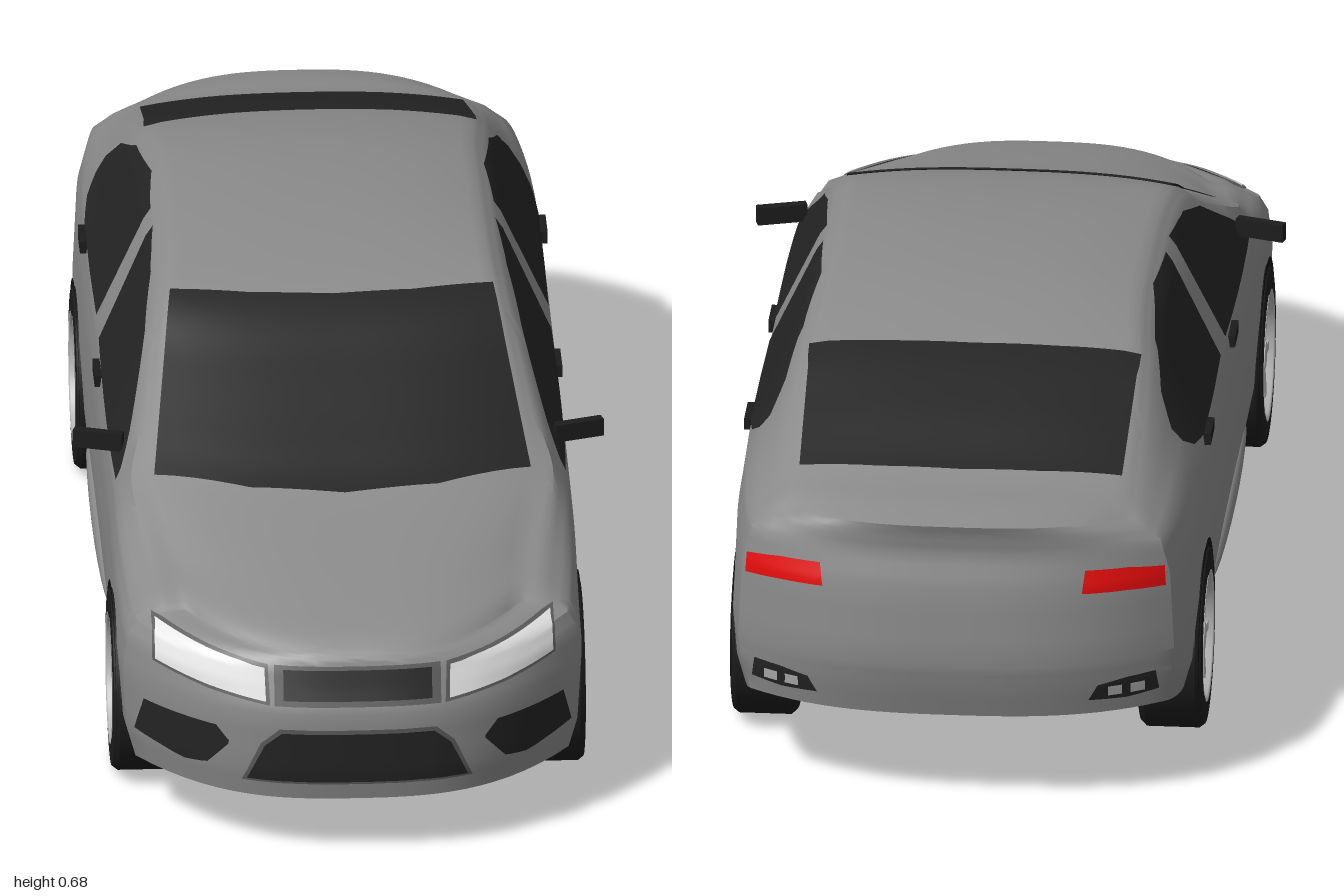
import * as THREE from 'three';
import { mergeGeometries, toCreasedNormals } from 'three/addons/utils/BufferGeometryUtils.js';

const paint = (name, color) => new THREE.MeshStandardMaterial({ name, color, side: THREE.DoubleSide });
const M = {
  body: paint('bodyGrey', 0x8a8a8a),
  glass: paint('darkGlass', 0x242424),
  rubber: paint('rubberBlack', 0x1c1c1c),
  under: paint('underbodyBlack', 0x121212),
  lamp: paint('headlampWhite', 0xe4e4e4),
  red: paint('tailRed', 0xe80c0c),
  rim: paint('rimSilver', 0xb4b4b4),
  trim: paint('trimGrey', 0x5c5c5c),
};
const WHEELS = [0.595, -0.575], WHEEL_Y = 0.15;
const { lerp, smoothstep } = THREE.MathUtils;

// Body stations, front to back: side z, centre z, centre y, roof edge x and y, shoulder y
const STATIONS = [
  [0.80, 0.965, 0.352, 0.270, 0.362, 0.345],
  [0.76, 0.920, 0.375, 0.275, 0.380, 0.352],
  [0.66, 0.800, 0.408, 0.285, 0.405, 0.370],
  [0.50, 0.590, 0.460, 0.310, 0.460, 0.410],
  [0.40, 0.470, 0.508, 0.297, 0.507, 0.425],
  [0.27, 0.320, 0.574, 0.282, 0.570, 0.435],
  [0.15, 0.175, 0.635, 0.265, 0.630, 0.440],
  [0.00, 0.000, 0.667, 0.257, 0.652, 0.445],
  [-0.18, -0.18, 0.677, 0.255, 0.657, 0.450],
  [-0.36, -0.36, 0.667, 0.255, 0.648, 0.455],
  [-0.52, -0.535, 0.632, 0.265, 0.618, 0.460],
  [-0.66, -0.68, 0.585, 0.270, 0.570, 0.465],
  [-0.80, -0.825, 0.530, 0.268, 0.520, 0.460],
  [-0.86, -0.92, 0.515, 0.270, 0.500, 0.455],
  [-0.89, -0.985, 0.500, 0.270, 0.485, 0.450],
];
// Centre line of the nose and tail, bottom to top: y, z
const NOSE = [[0.105, 0.985], [0.155, 0.995], [0.26, 1], [0.30, 0.985], [0.33, 0.975], [0.345, 0.97], [0.352, 0.965]];
const TAIL = [[0.165, -0.975], [0.215, -0.99], [0.26, -1], [0.393, -0.99], [0.45, -0.975], [0.485, -0.98], [0.50, -0.985]];

// Adds n - 1 points between neighbours of a list of points
function refine(list, n) {
  const out = [];
  for (let i = 0; i < list.length - 1; i++)
    for (let k = 0; k < n; k++) out.push(list[i].map((v, c) => lerp(v, list[i + 1][c], k / n)));
  out.push(list[list.length - 1]);
  return out;
}

// Smooth curve through four values
function spline(a, b, c, d, t) {
  const m0 = (c - a) / 2, m1 = (d - b) / 2;
  return b + m0 * t + (3 * (c - b) - 2 * m0 - m1) * t * t + (2 * (b - c) + m0 + m1) * t * t * t;
}

// Half section from floor to roof edge; width, floor and cant rail follow from z and height
function makeSection([z, zc, yc, ex, ey, sy]) {
  const w = 0.378 - 0.006 * Math.max(0, (z - 0.6) / 0.2) ** 3 - 0.023 * Math.max(0, (-z - 0.6) / 0.29) ** 3;
  const yb = 0.105 + 0.06 * Math.max(0, (-z - 0.55) / 0.34) ** 2;
  const sx = w - lerp(0.01, 0.022, smoothstep(Math.abs(z), 0.5, 0.8));
  const cabin = smoothstep(ey, 0.36, 0.62);
  const side = [[w - 0.02, yb], [w - 0.006, yb + 0.05], [w, 0.26],
    [sx * 0.4 + w * 0.6 + 0.002, 0.26 + 0.7 * (sy - 0.26)], [sx, sy],
    [ex + lerp(0.036, 0.026, cabin), ey - lerp(0.004, 0.021, cabin)], [ex, ey]];
  return { z, zc, yc, side: refine(side, 3).map(([x, y]) => new THREE.Vector3(x, y, z)) };
}

function makeSections(n = 6) {
  const S = STATIONS, last = S.length - 1, out = [];
  for (let i = 0; i < last; i++)
    for (let k = 0; k < n; k++)
      out.push(makeSection(S[i].map((v, c) =>
        spline(S[Math.max(i - 1, 0)][c], v, S[i + 1][c], S[Math.min(i + 2, last)][c], k / n))));
  out.push(makeSection(S[last]));
  return out;
}

// Bowed line across the car from one edge point to its mirror image
function across(edge, cy, cz, n = 28) {
  return Array.from({ length: n + 1 }, (_, i) => {
    const s = (2 * i) / n - 1, a = Math.abs(s);
    return new THREE.Vector3(edge.x * s, lerp(cy, edge.y, a ** 2.5), lerp(cz, edge.z, a ** 2.8));
  });
}

// Surface over rows of points, leaving out cells rejected by skip
function grid(rows, skip = () => false) {
  const cols = rows[0].length, index = [];
  for (let i = 0; i < rows.length - 1; i++)
    for (let j = 0; j < cols - 1; j++) {
      if (skip(rows[i][j].clone().add(rows[i + 1][j + 1]).multiplyScalar(0.5))) continue;
      const a = i * cols + j, b = a + cols;
      index.push(a, a + 1, b, a + 1, b + 1, b);
    }
  const g = new THREE.BufferGeometry().setFromPoints(rows.flat());
  g.setIndex(index);
  return g;
}

export function createModel() {
  const car = new THREE.Group();
  car.name = 'car';
  const add = (name, geo, mat, parent = car) => {
    const m = new THREE.Mesh(geo, mat);
    m.name = name;
    parent.add(m);
    return m;
  };

  // Body shell
  const secs = makeSections(), first = secs[0], end = secs[secs.length - 1];
  const inWheel = p => WHEELS.some(z => Math.hypot(p.z - z, p.y - WHEEL_Y) < 0.125);
  const top = secs.map(s => across(s.side[s.side.length - 1], s.yc, s.zc));
  const right = secs.map(s => s.side.map(p => new THREE.Vector3(-p.x, p.y, p.z)));
  const left = secs.map(s => s.side).reverse();
  const face = (sec, line) => refine(line, 3).map(([y, z], j) => across(sec.side[j], y, z));
  const nose = face(first, NOSE), tail = face(end, TAIL);
  const shell = mergeGeometries([grid(top), grid(right, inWheel), grid(left, inWheel),
    grid(nose), grid([...tail].reverse())]);
  const body = add('body', toCreasedNormals(shell, 0.65), M.body);

  // Flat floor
  const floor = [nose[0], ...secs.map(s => across(s.side[0], s.side[0].y, s.z)), tail[0]];
  const floorGeo = grid(floor.reverse());
  floorGeo.computeVertexNormals();
  add('underbody', floorGeo, M.under);

  // Thin plate laid on the body between a lower and an upper line, seen along an axis
  const ray = new THREE.Raycaster();
  function plate(name, mat, axis, sign, lower, upper, lift = 0.004, rowsN = 8) {
    const lo = refine(lower, 5), up = refine(upper, 5);
    const dir = new THREE.Vector3();
    dir[axis] = -sign;
    let prev = new THREE.Vector3();
    const rows = Array.from({ length: rowsN + 1 }, (_, r) => lo.map((p, i) => {
      const h = lerp(p[0], up[i][0], r / rowsN), v = lerp(p[1], up[i][1], r / rowsN);
      const from = axis === 'x' ? new THREE.Vector3(2 * sign, v, h)
        : axis === 'y' ? new THREE.Vector3(h, 2, v) : new THREE.Vector3(h, v, 2 * sign);
      ray.set(from, dir);
      const hit = ray.intersectObject(body)[0];
      if (hit) prev = hit.point.clone().addScaledVector(hit.face.normal, lift);
      return prev.clone();
    }));
    const g = grid(rows);
    g.computeVertexNormals();
    return add(name, g, mat);
  }
  const flip = (pts, s) => pts.map(([h, v]) => [h * s, v]);
  const arc = (w, z, bow) => [-1, -0.5, 0, 0.5, 1].map(s => [w * s, z - bow * s * s]);

  // Windscreen and rear window
  plate('windscreen', M.glass, 'y', 1, arc(0.305, 0.582, 0.085), arc(0.262, 0.18, 0.035), 0.004, 20);
  plate('rearWindow', M.glass, 'y', 1, arc(0.268, -0.535, -0.015), arc(0.262, -0.822, -0.02), 0.004, 16);

  // Grilles
  const box = (x, y0, y1) => [[[-x, y0], [0, y0], [x, y0]], [[-x, y1], [0, y1], [x, y1]]];
  plate('grilleFrame', M.trim, 'z', 1, ...box(0.135, 0.272, 0.335), 0.002);
  plate('grille', M.glass, 'z', 1, ...box(0.12, 0.281, 0.329), 0.005);
  plate('lowerGrilleFrame', M.trim, 'z', 1, [[-0.187, 0.134], [-0.12, 0.134], [0.12, 0.134], [0.187, 0.134]],
    [[-0.157, 0.205], [-0.127, 0.233], [0.127, 0.233], [0.157, 0.205]], 0.002);
  plate('lowerGrille', M.glass, 'z', 1, [[-0.178, 0.14], [-0.12, 0.14], [0.12, 0.14], [0.178, 0.14]],
    [[-0.15, 0.203], [-0.123, 0.227], [0.123, 0.227], [0.15, 0.203]], 0.005);

  for (const s of [1, -1]) {
    const side = s > 0 ? 'left' : 'right';
    // Side windows
    plate(side + 'FrontWindow', M.glass, 'x', s,
      [[0.44, 0.43], [0.3, 0.437], [0.15, 0.443], [0.05, 0.448], [-0.055, 0.455]],
      [[0.43, 0.445], [0.365, 0.485], [0.19, 0.58], [0.06, 0.625], [-0.085, 0.64]], 0.004, 12);
    plate(side + 'RearWindow', M.glass, 'x', s,
      [[-0.14, 0.458], [-0.3, 0.458], [-0.48, 0.463], [-0.56, 0.478], [-0.6, 0.5]],
      [[-0.15, 0.64], [-0.29, 0.643], [-0.45, 0.615], [-0.56, 0.57], [-0.61, 0.525]], 0.004, 12);

    // Lamps and bumper vents
    plate(side + 'HeadlightFrame', M.trim, 'z', 1, flip([[0.142, 0.272], [0.24, 0.285], [0.326, 0.3]], s),
      flip([[0.145, 0.335], [0.24, 0.346], [0.326, 0.357]], s), 0.002);
    plate(side + 'Headlight', M.lamp, 'z', 1, flip([[0.148, 0.278], [0.24, 0.291], [0.32, 0.305]], s),
      flip([[0.15, 0.33], [0.24, 0.341], [0.32, 0.352]], s), 0.005);
    plate(side + 'BumperVent', M.glass, 'z', 1,
      flip([[0.207, 0.197], [0.24, 0.156], [0.275, 0.15], [0.352, 0.166]], s),
      flip([[0.207, 0.203], [0.227, 0.227], [0.275, 0.228], [0.338, 0.228]], s));
    plate(side + 'TailLight', M.red, 'z', -1, flip([[0.21, 0.383], [0.28, 0.38], [0.34, 0.375]], s),
      flip([[0.215, 0.42], [0.28, 0.417], [0.338, 0.408]], s));
    plate(side + 'RearFogPanel', M.glass, 'z', -1, flip([[0.22, 0.193], [0.28, 0.19], [0.33, 0.195]], s),
      flip([[0.235, 0.22], [0.28, 0.228], [0.325, 0.23]], s), 0.003);
    for (const x of [0.25, 0.285])
      plate(side + 'RearFogLamp', M.rim, 'z', -1, flip([[x, 0.2], [x + 0.022, 0.2]], s),
        flip([[x, 0.217], [x + 0.022, 0.217]], s), 0.006);

    // Door handles
    for (const [z, y] of [[0.02, 0.43], [-0.445, 0.455]])
      add('doorHandle', new THREE.BoxGeometry(0.012, 0.02, 0.068), M.rubber).position.set(s * 0.374, y, z);

    // Door mirror
    const mirror = add(side + 'Mirror', new THREE.BoxGeometry(0.082, 0.03, 0.016), M.rubber);
    mirror.position.set(s * 0.39, 0.47, 0.364);
    mirror.rotation.y = s * 0.3;

    // Sill bulge
    const sill = add(side + 'Sill', new THREE.SphereGeometry(1, 24, 12), M.body);
    sill.scale.set(0.014, 0.02, 0.33);
    sill.position.set(s * 0.368, 0.152, -0.02);

    // Wheels
    for (const z of WHEELS) {
      const wheel = new THREE.Group();
      wheel.name = side + (z > 0 ? 'FrontWheel' : 'RearWheel');
      wheel.position.set(s * 0.332, WHEEL_Y, z);
      wheel.rotation.y = s > 0 ? 0 : Math.PI;
      car.add(wheel);
      const lathe = pts => new THREE.LatheGeometry(pts.map(p => new THREE.Vector2(...p)), 40).rotateZ(-Math.PI / 2);
      add('tyre', toCreasedNormals(lathe([[0, -0.052], [0.14, -0.052], [0.15, -0.042], [0.15, 0.042],
        [0.143, 0.051], [0.108, 0.052], [0.104, 0.04], [0.104, 0.012], [0, 0.012]]), 0.6), M.rubber, wheel);
      add('rim', lathe([[0.108, 0.053], [0.098, 0.051], [0.094, 0.014]]), M.rim, wheel);
      add('brakeDisc', new THREE.CylinderGeometry(0.07, 0.07, 0.008, 32).rotateZ(Math.PI / 2), M.trim, wheel).position.x = 0.016;
      add('hub', new THREE.CylinderGeometry(0.022, 0.026, 0.03, 20).rotateZ(-Math.PI / 2), M.rim, wheel).position.x = 0.032;
      for (let k = 0; k < 7; k++)
        add('spoke', new THREE.BoxGeometry(0.012, 0.082, 0.015).translate(0.038, 0.058, 0), M.rim, wheel)
          .rotation.x = (k / 7) * Math.PI * 2;

      // Dark wheel arch edge
      const arch = add('wheelArch', new THREE.RingGeometry(0.14, 0.16, 40, 1, -0.26, Math.PI + 0.52), M.under);
      arch.rotation.y = s * Math.PI / 2;
      arch.position.set(s * 0.3805, WHEEL_Y, z);
    }
  }
  return car;
}
